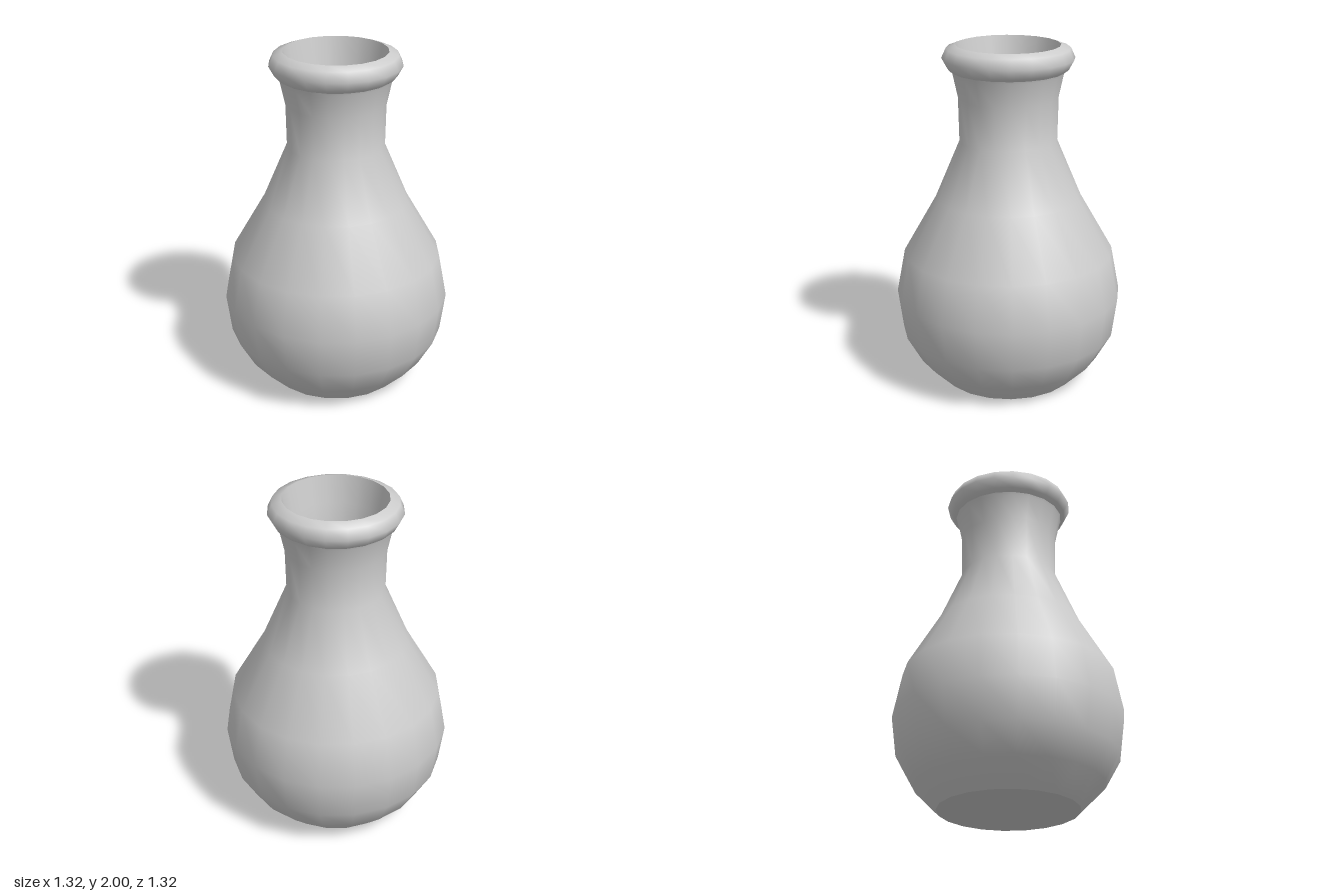
import * as THREE from 'three';

const SIDES = 20;

export function createModel() {
  const vase = new THREE.Group();
  vase.name = 'vase';
  const clay = new THREE.MeshStandardMaterial({ color: 0xcccccc });
  clay.name = 'grey clay';

  // Each part is a turned profile of [radius, height] points
  const turn = (name, profile) => {
    const points = profile.map(([r, y]) => new THREE.Vector2(r, y));
    const mesh = new THREE.Mesh(new THREE.LatheGeometry(points, SIDES), clay);
    mesh.name = name;
    vase.add(mesh);
  };

  // Flat underside
  turn('base', [[0, 0], [0.4, 0]]);

  // Round belly, sloping shoulder and neck
  turn('body', [
    [0.4, 0], [0.54, 0.14], [0.63, 0.3], [0.66, 0.53], [0.61, 0.79],
    [0.42, 1.12], [0.28, 1.45], [0.285, 1.7], [0.315, 1.84], [0.335, 1.88],
  ]);

  // Rolled lip
  turn('lip', [
    [0.31, 1.845], [0.345, 1.87], [0.375, 1.925], [0.35, 1.98], [0.295, 2],
  ]);

  // Inner wall, narrow at the neck and hollow below
  turn('innerWall', [
    [0.295, 2], [0.265, 1.84], [0.24, 1.7], [0.22, 1.45], [0.37, 1.12],
    [0.56, 0.79], [0.61, 0.53], [0.58, 0.3], [0.5, 0.16], [0.38, 0.05],
  ]);

  // Inside floor
  turn('innerFloor', [[0.38, 0.05], [0, 0.05]]);

  return vase;
}
